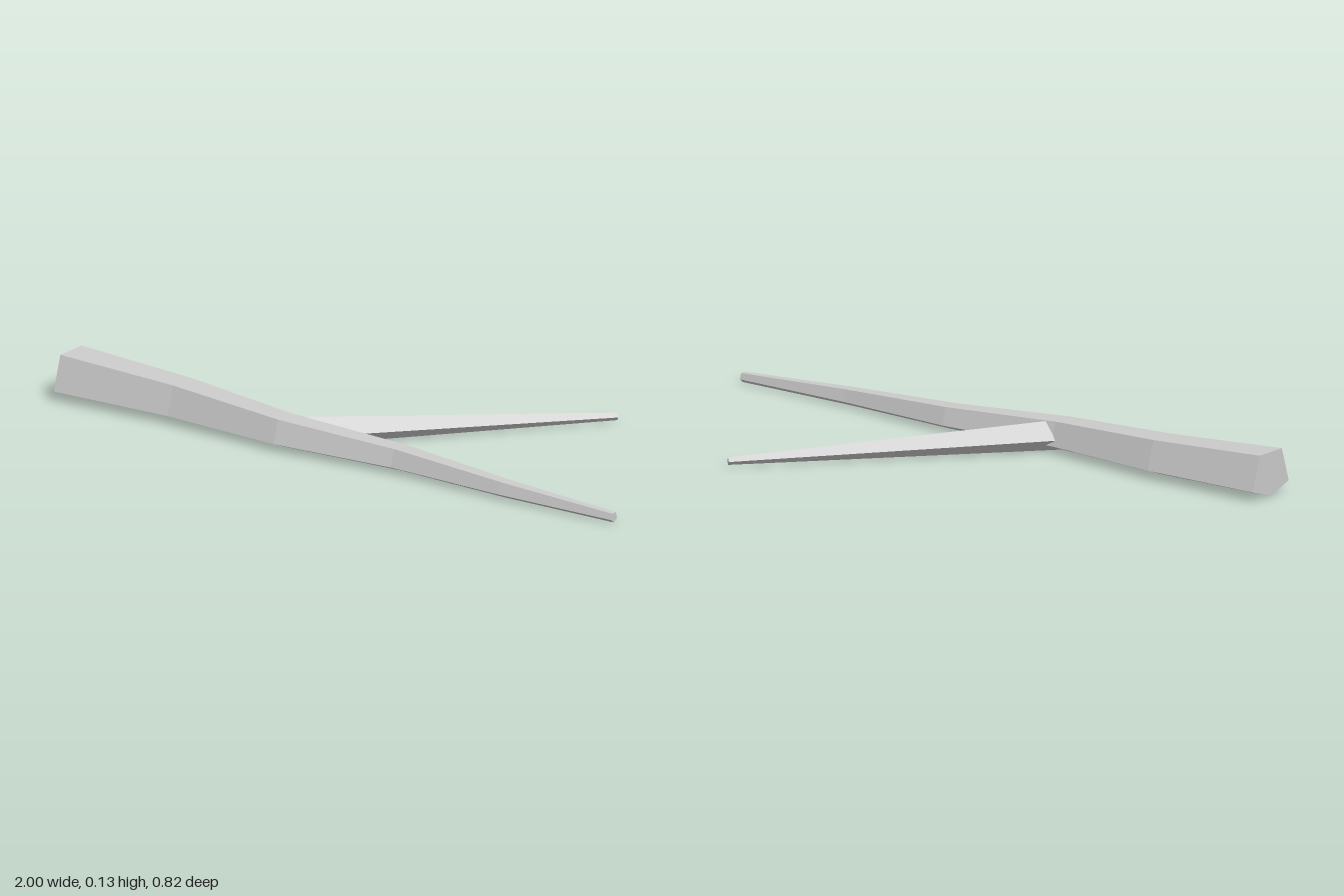
import * as THREE from 'three';

// Faceted limb lofted through rings [x, y, z, radius], capped at both ends.
// Ring planes stand square to the horizontal direction (dx, dz).
function limb(name, rings, sides, startAngle, dx, dz, material) {
  const pos = [], index = [];
  const len = Math.hypot(dx, dz);
  const sx = -dz / len, sz = dx / len;
  for (const [x, y, z, r] of rings) {
    for (let j = 0; j < sides; j++) {
      const a = startAngle + (j / sides) * Math.PI * 2;
      const s = Math.sin(a) * r;
      // the underside is flattened where it rests on the ground
      pos.push(x + sx * s, Math.max(0, y + Math.cos(a) * r), z + sz * s);
    }
  }
  const last = (rings.length - 1) * sides;
  for (let i = 0; i < last; i += sides) {
    for (let j = 0; j < sides; j++) {
      const k = (j + 1) % sides;
      const a = i + j, b = i + k, c = a + sides, d = b + sides;
      index.push(a, b, c, b, d, c);
    }
  }
  for (let j = 1; j < sides - 1; j++) {
    index.push(0, j + 1, j, last, last + j, last + j + 1);
  }
  const indexed = new THREE.BufferGeometry();
  indexed.setAttribute('position', new THREE.Float32BufferAttribute(pos, 3));
  indexed.setIndex(index);
  const geometry = indexed.toNonIndexed();
  geometry.computeVertexNormals();
  const mesh = new THREE.Mesh(geometry, material);
  mesh.name = name;
  return mesh;
}

export function createModel() {
  const group = new THREE.Group();
  group.name = 'fallenBranch';
  const bark = new THREE.MeshStandardMaterial({ color: 0xcccccc, flatShading: true });
  bark.name = 'paleGreyBark';

  // Main branch: five-sided, tapering, with a slight wander in z
  const bends = [0.273, 0.285, 0.337, 0.333, 0.374, 0.395];
  const rings = bends.map((z, i) => {
    const t = i / (bends.length - 1);
    return [-1 + 2 * t, 0.0585 - 0.0415 * t, z, 0.092 - 0.076 * t];
  });
  group.add(limb('mainBranch', rings, 5, Math.PI / 5, 1, 0, bark));

  // Side twig: four-sided with a ridge on top, rooted inside the main branch
  const root = [-0.2, 0.041, 0.34, 0.05];
  const tip = [0.457, 0.0185, -0.404, 0.0115];
  group.add(limb('sideTwig', [root, tip], 4, 0, tip[0] - root[0], tip[2] - root[2], bark));

  return group;
}
